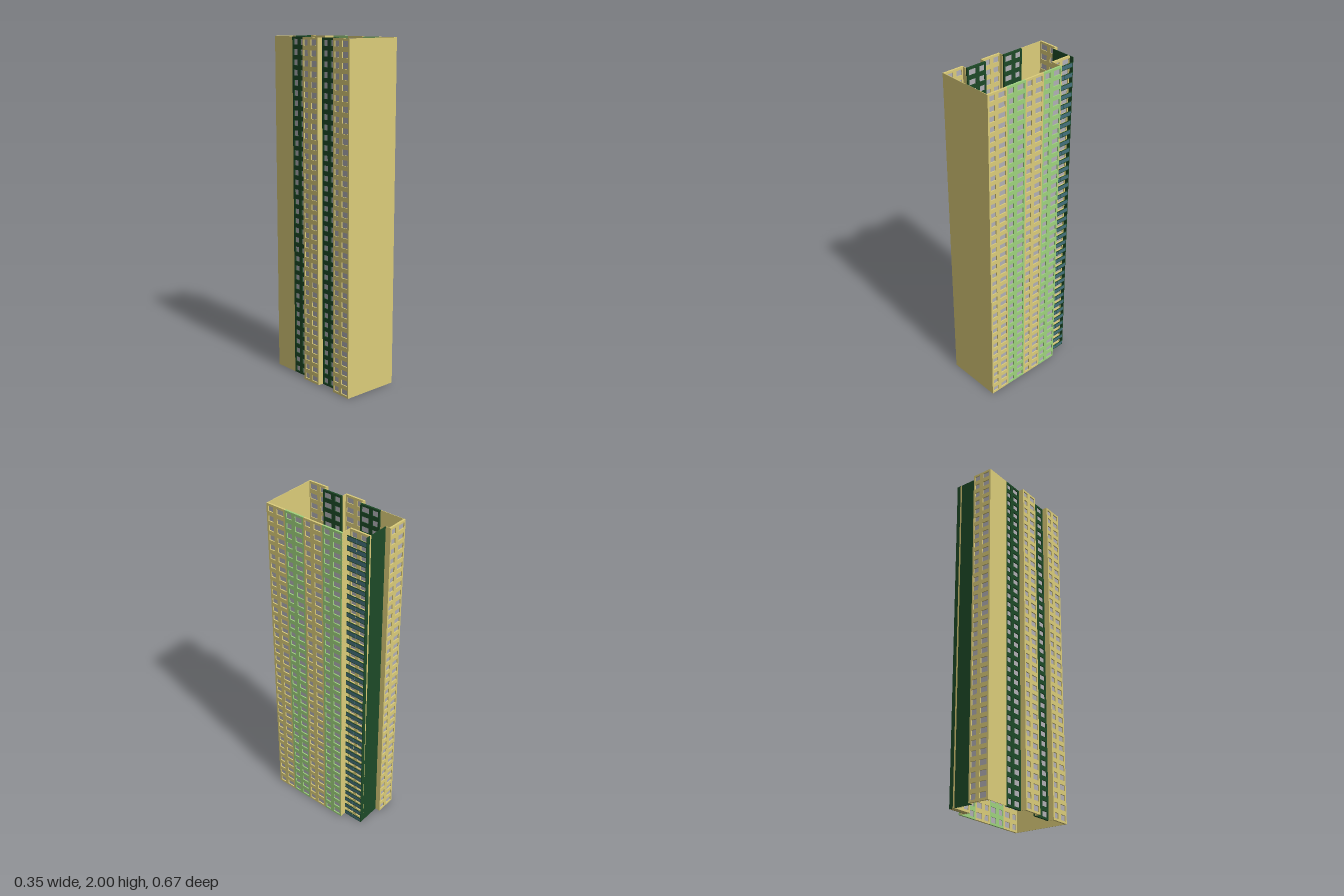
import * as THREE from 'three';
import { mergeGeometries } from 'three/addons/utils/BufferGeometryUtils.js';

const HEIGHT = 2, FLOORS = 35, STOREY = HEIGHT / FLOORS;
const DEPTH = 0.011, THIN = 0.003;
const SILL = 0.0125, WINDOW_H = 0.032;
// window columns of one bay: [start, end] as fractions of its width
const COLUMNS = [[0.085, 0.36], [0.55, 0.92]];

const paint = (color) => new THREE.MeshStandardMaterial({ color, side: THREE.DoubleSide });

export function createModel() {
  const tower = new THREE.Group();
  tower.name = 'apartmentTower';
  const yellow = paint(0xdccd7a), lightGreen = paint(0x9fd47e), darkGreen = paint(0x1d4a27);
  const glass = paint(0xb2b0b6), teal = paint(0x44707c);

  const add = (parent, name, geometry, material) => {
    const mesh = new THREE.Mesh(geometry, material);
    mesh.name = name;
    parent.add(mesh);
    return mesh;
  };

  // box given by its two corners
  const block = (x0, x1, y0, y1, z0, z1) =>
    new THREE.BoxGeometry(x1 - x0, y1 - y0, z1 - z0)
      .translate((x0 + x1) / 2, (y0 + y1) / 2, (z0 + z1) / 2);

  // full-height wall with pierced windows; runs left to right seen from outside
  const windowBay = (name, material, width, x, z, turn) => {
    const bay = new THREE.Group();
    bay.name = name;
    const wall = new THREE.Shape([[0, 0], [width, 0], [width, HEIGHT], [0, HEIGHT]]
      .map(([a, b]) => new THREE.Vector2(a, b)));
    const panes = [];
    for (let f = 0; f < FLOORS; f++) {
      const y0 = f * STOREY + SILL, y1 = y0 + WINDOW_H;
      for (const [s, e] of COLUMNS) {
        const a = s * width, b = e * width;
        wall.holes.push(new THREE.Path([[a, y0], [a, y1], [b, y1], [b, y0]]
          .map(([u, v]) => new THREE.Vector2(u, v))));
        panes.push(new THREE.PlaneGeometry(b - a, WINDOW_H)
          .translate((a + b) / 2, (y0 + y1) / 2, -DEPTH * 0.6));
      }
    }
    const solid = new THREE.ExtrudeGeometry(wall, { depth: DEPTH, bevelEnabled: false });
    add(bay, name + 'Wall', solid.translate(0, 0, -DEPTH), material);
    add(bay, name + 'Windows', mergeGeometries(panes), glass);
    bay.position.set(x, 0, z);
    bay.rotation.y = turn;
    tower.add(bay);
  };

  // right side: four flush bays in alternating colours
  const edges = [0.333, 0.205, 0.078, -0.049, -0.177];
  for (let i = 0; i < 4; i++) {
    windowBay('rightBay' + (i + 1), i % 2 ? lightGreen : yellow,
      edges[i] - edges[i + 1], 0.174, edges[i], Math.PI / 2);
  }

  // left side: yellow bays project, dark green bays are set back
  for (let i = 0; i < 4; i++) {
    const recessed = i % 2 === 1;
    windowBay('leftBay' + (i + 1), recessed ? darkGreen : yellow,
      edges[i] - edges[i + 1], recessed ? -0.142 : -0.175, edges[i + 1], -Math.PI / 2);
  }

  // back windowed bay and the wall behind the balconies
  windowBay('backBay', yellow, 0.125, -0.017, -0.333, Math.PI);
  windowBay('balconyBay', yellow, 0.125, 0.111, -0.177, Math.PI / 2);

  // plain thin walls closing the plan
  const plain = (name, x0, x1, z0, z1, material = yellow) =>
    add(tower, name, block(x0, x1, 0, HEIGHT, z0, z1), material);
  plain('frontWall', -0.175, 0.174, 0.333 - THIN, 0.333);
  plain('backPlainWall', -0.017, 0.135, -0.302, -0.302 + THIN, darkGreen);
  plain('backReturn', -0.017 - THIN, -0.017, -0.333, -0.302);
  plain('leftPlainWall', -0.142, -0.142 + THIN, -0.333, -0.177);
  plain('balconyReturn', 0.1, 0.174, -0.177, -0.177 + THIN);
  plain('leftReturnBack', -0.175, -0.142, -0.049, -0.049 + THIN);
  plain('leftReturnMiddle', -0.175, -0.142, 0.078 - THIN, 0.078);
  plain('leftReturnFront', -0.175, -0.142, 0.205, 0.205 + THIN);

  // balconies: slab, paired glass panels and rails on every floor
  const slabs = [], panels = [], rails = [];
  const near = -0.178, far = -0.299, mid = (near + far) / 2;
  for (let f = 0; f < FLOORS; f++) {
    const y = f * STOREY;
    slabs.push(block(0.109, 0.133, y, y + 0.004, far, near));
    for (const [a, b] of [[far, mid - 0.001], [mid + 0.001, near]]) {
      panels.push(block(0.132, 0.134, y + 0.003, y + 0.026, a, b));
    }
    rails.push(block(0.131, 0.135, y + 0.026, y + 0.029, far, near));
    rails.push(block(0.131, 0.135, y, y + 0.003, far, near));
  }
  add(tower, 'balconySlabs', mergeGeometries(slabs), yellow);
  add(tower, 'balconyPanels', mergeGeometries(panels), teal);
  add(tower, 'balconyRails', mergeGeometries(rails), darkGreen);

  return tower;
}
